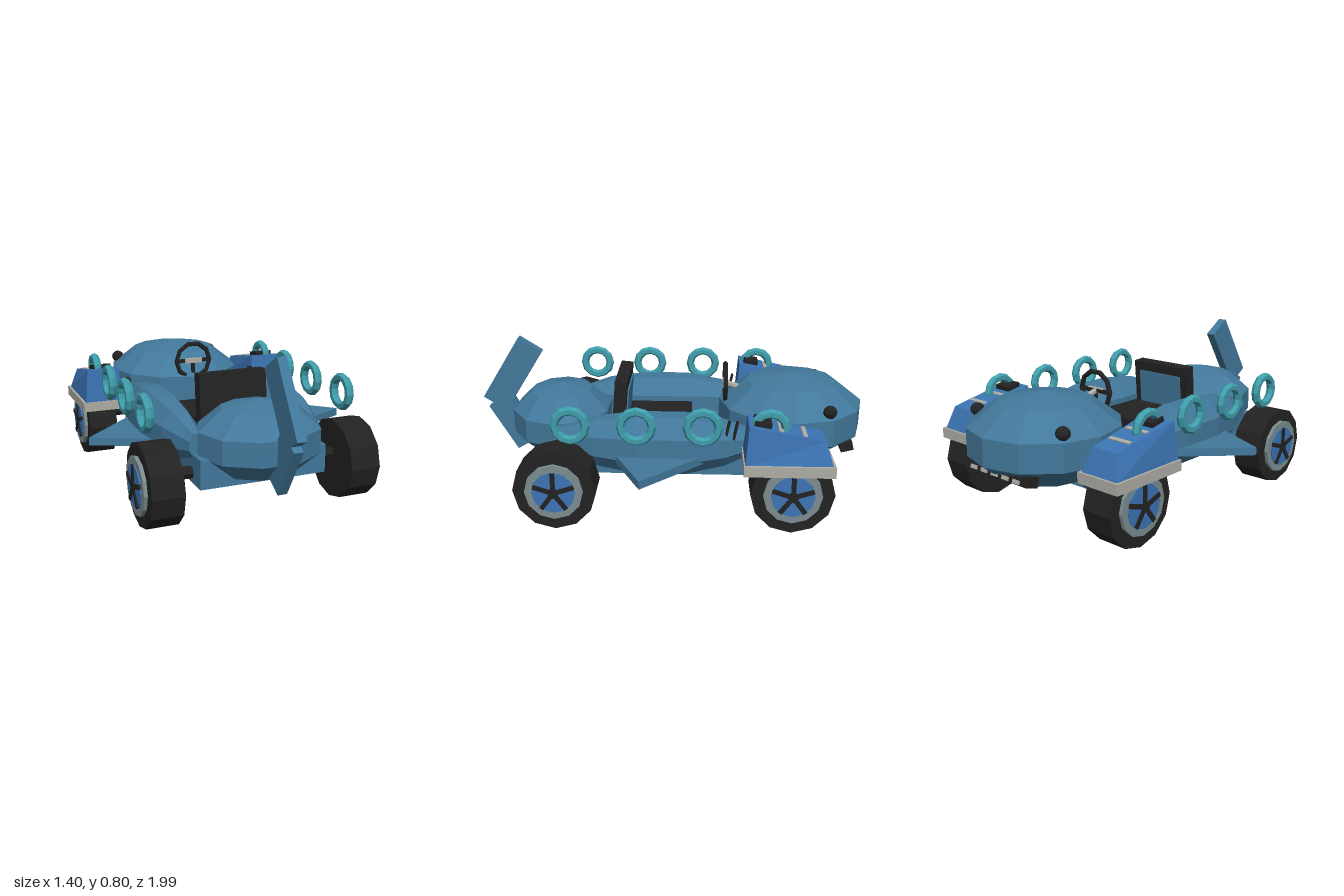
import * as THREE from 'three';

const paint = (name, color) => {
  const m = new THREE.MeshStandardMaterial({ color, flatShading: true });
  m.name = name;
  return m;
};

export function createModel() {
  const body = paint('ocean blue', 0x42789b);
  const blue = paint('bright blue', 0x3b74b3);
  const black = paint('black', 0x222222);
  const grey = paint('light grey', 0xadaca4);
  const steel = paint('steel grey', 0x7c8c90);
  const teal = paint('teal', 0x3f9dab);
  const root = new THREE.Group();
  root.name = 'seaCreatureKart';

  const add = (name, geo, mat, x = 0, y = 0, z = 0, parent = root) => {
    const mesh = new THREE.Mesh(geo, mat);
    mesh.name = name;
    mesh.position.set(x, y, z);
    parent.add(mesh);
    return mesh;
  };
  const box = (w, h, d) => new THREE.BoxGeometry(w, h, d);
  const ball = (rx, ry, rz, sides, rings) => new THREE.SphereGeometry(1, sides, rings).scale(rx, ry, rz);

  // Closed skin over elliptical sections [z, cx, cy, rx, ry]
  const loft = (sections, sides) => {
    const pos = [], index = [], n = sections.length;
    for (const [z, cx, cy, rx, ry] of sections)
      for (let j = 0; j < sides; j++) {
        const a = ((j + 0.5) / sides) * Math.PI * 2;
        pos.push(cx + rx * Math.cos(a), cy + ry * Math.sin(a), z);
      }
    for (let i = 0; i < n - 1; i++)
      for (let j = 0; j < sides; j++) {
        const k = (j + 1) % sides, a = i * sides, b = a + sides;
        index.push(a + j, a + k, b + k, a + j, b + k, b + j);
      }
    const last = (n - 1) * sides;
    for (let j = 1; j < sides - 1; j++) {
      index.push(0, j + 1, j);
      index.push(last, last + j, last + j + 1);
    }
    const g = new THREE.BufferGeometry();
    g.setAttribute('position', new THREE.Float32BufferAttribute(pos, 3));
    g.setIndex(index);
    g.computeVertexNormals();
    return g;
  };

  // Hull: head, rump and floor tub
  add('head', ball(0.39, 0.22, 0.39, 12, 5), body, 0, 0.41, -0.625);
  add('rump', ball(0.32, 0.19, 0.273, 10, 5), body, 0, 0.37, 0.575);
  add('floorTub', box(0.64, 0.14, 1.23), body, 0, 0.25, 0.035);

  // Tail flukes
  add('upperTail', box(0.048, 0.385, 0.14), body, 0, 0.6, 0.835).rotation.x = -0.563;
  add('lowerTail', box(0.047, 0.28, 0.14), body, 0, 0.335, 0.84).rotation.x = 0.53;

  // Mouth with a row of teeth
  const mouth = new THREE.Group();
  mouth.name = 'mouth';
  mouth.position.set(0, 0.3, -0.9);
  mouth.rotation.x = 0.25;
  root.add(mouth);
  add('lips', box(0.44, 0.05, 0.065), black, 0, 0, 0, mouth);
  for (let i = -2; i <= 2; i++) add('tooth', box(0.045, 0.018, 0.07), grey, i * 0.075, -0.012, -0.003, mouth);

  // Seat
  add('seatBase', box(0.36, 0.07, 0.4), black, 0, 0.355, 0.09);
  const back = new THREE.Group();
  back.name = 'seatBack';
  back.position.set(0, 0.48, 0.255);
  back.rotation.x = -0.08;
  root.add(back);
  add('backrest', box(0.36, 0.28, 0.065), black, 0, 0, 0, back);
  add('backPanel', box(0.28, 0.18, 0.009), body, 0, 0, -0.036, back);

  // Steering
  const steering = new THREE.Group();
  steering.name = 'steering';
  steering.position.set(0, 0.565, -0.285);
  root.add(steering);
  add('steeringRim', new THREE.TorusGeometry(0.098, 0.013, 6, 10), black, 0, 0, 0, steering);
  add('crossbar', box(0.18, 0.02, 0.014), black, 0, 0, 0, steering);
  add('lowerSpoke', box(0.02, 0.1, 0.014), black, 0, -0.05, 0, steering);
  add('hubPlate', box(0.1, 0.025, 0.02), grey, 0, 0, 0.004, steering);
  add('column', new THREE.CylinderGeometry(0.015, 0.015, 0.2, 6), grey, 0, -0.03, -0.09, steering).rotation.x = 1.25;

  // Tapered pod cover, higher at its +z end
  const podShell = () => {
    const g = box(0.21, 0.19, 0.41), p = g.attributes.position;
    for (let i = 0; i < p.count; i++)
      if (p.getY(i) > 0) {
        const front = p.getZ(i) > 0;
        p.setX(i, p.getX(i) * (front ? 0.82 : 0.66));
        p.setY(i, front ? 0.095 : 0.025);
        p.setZ(i, front ? 0.19 : -0.165);
      }
    g.computeVertexNormals();
    return g;
  };

  for (const s of [1, -1]) {
    const side = new THREE.Group();
    side.name = s > 0 ? 'leftSide' : 'rightSide';
    root.add(side);

    // Swelling flank
    add('flank', loft([
      [-0.45, s * 0.3, 0.36, 0.045, 0.05],
      [-0.28, s * 0.315, 0.355, 0.095, 0.12],
      [-0.08, s * 0.32, 0.35, 0.13, 0.16],
      [0.16, s * 0.32, 0.35, 0.13, 0.16],
      [0.36, s * 0.315, 0.355, 0.095, 0.13],
      [0.55, s * 0.3, 0.36, 0.04, 0.06],
    ], 8), body, 0, 0, 0, side);

    // Side fin
    const fin = new THREE.Shape([
      new THREE.Vector2(s * 0.36, -0.22), new THREE.Vector2(s * 0.7, 0.12), new THREE.Vector2(s * 0.36, 0.28),
    ]);
    add('sideFin', new THREE.ExtrudeGeometry(fin, { depth: 0.04, bevelEnabled: false }).rotateX(Math.PI / 2),
      body, 0, 0.317, 0, side);

    // Eye and gill slits
    add('eye', ball(0.035, 0.033, 0.035, 8, 6), black, s * 0.3, 0.515, -0.79, side);
    for (const z of [-0.285, -0.325])
      add('gill', box(0.025, 0.13, 0.012), black, s * 0.375, 0.425, z, side).rotation.x = -0.2;

    // Floating rings
    for (let i = 0; i < 4; i++)
      add('ring', new THREE.TorusGeometry(0.074, 0.022, 6, 12), teal, s * 0.515, 0.512, 0.455 - i * 0.312, side)
        .rotation.y = Math.PI / 2;

    // Wheels
    for (const z of [0.535, -0.595]) {
      const wheel = new THREE.Group();
      wheel.name = z > 0 ? 'tailWheel' : 'headWheel';
      wheel.position.set(s * 0.4975, 0.2, z);
      side.add(wheel);
      const disc = (name, r, depth, x, mat, sides) =>
        add(name, new THREE.CylinderGeometry(r, r, depth, sides).rotateZ(Math.PI / 2), mat, s * x, 0, 0, wheel);
      disc('tyre', 0.2, 0.155, 0, black, 12);
      disc('rim', 0.14, 0.02, 0.085, steel, 12);
      disc('hubDisc', 0.104, 0.008, 0.097, blue, 12);
      disc('hubCap', 0.026, 0.016, 0.102, black, 8);
      for (let i = 0; i < 5; i++) {
        const a = (i / 5) * Math.PI * 2;
        add('spoke', box(0.012, 0.1, 0.022), black, s * 0.102, 0.052 * Math.cos(a), 0.052 * Math.sin(a), wheel)
          .rotation.x = a;
      }
      add('axle', new THREE.CylinderGeometry(0.03, 0.03, 0.2, 6).rotateZ(Math.PI / 2), black, s * -0.16, 0.03, 0, wheel);
    }

    // Pod over the head wheel
    const pod = new THREE.Group();
    pod.name = 'wheelPod';
    pod.position.set(s * 0.495, 0.445, -0.57);
    side.add(pod);
    add('podPlate', box(0.235, 0.052, 0.425), grey, 0, -0.113, -0.002, pod);
    add('podCover', podShell(), blue, 0, 0, 0, pod);
    const slope = -Math.atan2(0.07, 0.355);
    for (const z of [-0.07, 0.04])
      add('podStripe', box(0.12, 0.009, 0.022), grey, 0, 0.0955 + (z - 0.19) * 0.197, z, pod).rotation.x = slope;
    add('podVent', box(0.1, 0.04, 0.08), black, 0, 0.085, 0.125, pod).rotation.x = slope;
  }
  return root;
}
